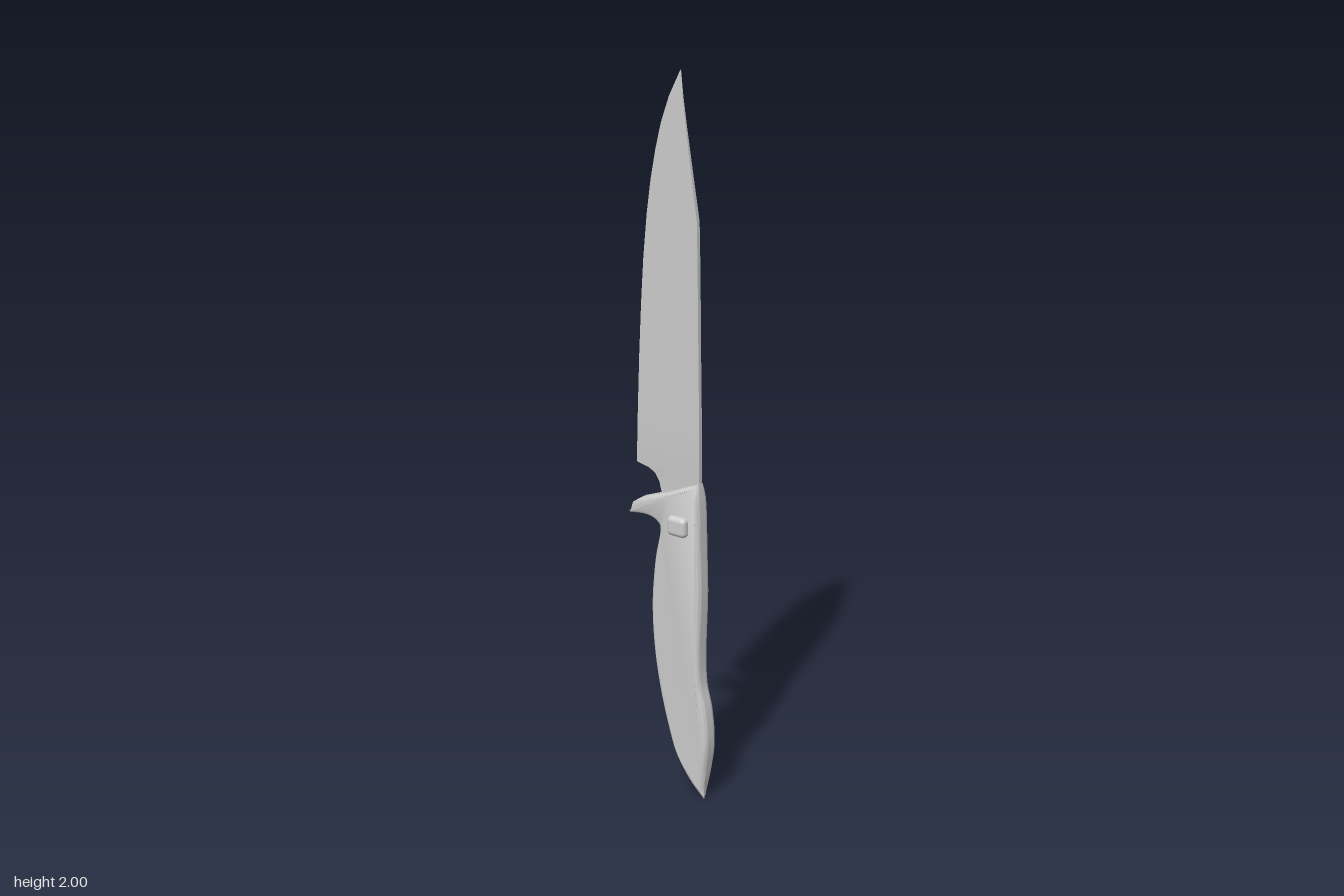
import * as THREE from 'three';
import { toCreasedNormals } from 'three/addons/utils/BufferGeometryUtils.js';
import { RoundedBoxGeometry } from 'three/addons/geometries/RoundedBoxGeometry.js';

const material = new THREE.MeshStandardMaterial({ color: 0xcccccc });

function part(name, geometry) {
  const mesh = new THREE.Mesh(geometry, material);
  mesh.name = name;
  return mesh;
}

// Wedge blade lofted from rows of [y, cutting edge x, spine x]
function bladeGeometry() {
  const rows = [
    [0.8, -0.02, 0.085], [0.865, -0.04, 0.09], [0.895, -0.048, 0.091], [0.915, -0.062, 0.091],
    [0.926, -0.082, 0.091], [0.935, -0.125, 0.091], [1.08, -0.121, 0.09], [1.24, -0.115, 0.087],
    [1.38, -0.108, 0.085], [1.5, -0.1, 0.083], [1.62, -0.088, 0.08], [1.71, -0.075, 0.065],
    [1.79, -0.059, 0.052], [1.86, -0.041, 0.041], [1.93, -0.015, 0.031], [2, 0.022, 0.024],
  ];
  const positions = [], index = [];
  rows.forEach(([y, edge, spine], i) => {
    const half = Math.min(0.006, 0.035 * (spine - edge));
    positions.push(edge, y, 0, spine, y, half, spine, y, -half);
    if (i === 0) return;
    for (let k = 0; k < 3; k++) {
      const a = (i - 1) * 3 + k, b = (i - 1) * 3 + (k + 1) % 3;
      index.push(a, b, b + 3, a, b + 3, a + 3);
    }
  });
  const top = (rows.length - 1) * 3;
  index.push(0, 2, 1, top, top + 1, top + 2);
  const geometry = new THREE.BufferGeometry();
  geometry.setAttribute('position', new THREE.Float32BufferAttribute(positions, 3));
  geometry.setIndex(index);
  return toCreasedNormals(geometry, 0.5);
}

// Handle and finger guard in one outline, thinned towards the butt and the top
function handleGeometry() {
  const spline = (shape, pts) => shape.splineThru(pts.map(([x, y]) => new THREE.Vector2(x, y)));
  const outline = new THREE.Shape();
  outline.moveTo(0.108, 0.003);
  spline(outline, [[0.122, 0.09], [0.131, 0.18], [0.123, 0.27], [0.105, 0.345], [0.101, 0.44],
    [0.106, 0.6], [0.103, 0.72], [0.099, 0.85], [0.092, 0.918]]);
  spline(outline, [[0.04, 0.897], [-0.01, 0.875], [-0.06, 0.857], [-0.1, 0.842]]);
  outline.lineTo(-0.127, 0.824);
  outline.lineTo(-0.136, 0.791);
  spline(outline, [[-0.105, 0.796], [-0.07, 0.797], [-0.042, 0.788], [-0.031, 0.765],
    [-0.048, 0.68], [-0.059, 0.55], [-0.051, 0.415], [-0.026, 0.28], [0.014, 0.145], [0.04, 0.09]]);
  spline(outline, [[0.07, 0.043], [0.108, 0.003]]);

  const thickness = 0.048, bevel = 0.014;
  const geometry = new THREE.ExtrudeGeometry(outline, {
    depth: thickness - 2 * bevel, curveSegments: 4,
    bevelThickness: bevel, bevelSize: 0.01, bevelOffset: -0.01, bevelSegments: 4,
  });
  geometry.translate(0, 0, bevel - thickness / 2);
  const p = geometry.attributes.position;
  for (let i = 0; i < p.count; i++) {
    const y = p.getY(i);
    const butt = 0.15 + 0.85 * Math.sin(Math.min(1, Math.max(0, y / 0.16)) * Math.PI / 2);
    const top = 1 - 0.5 * Math.max(0, (y - 0.86) / 0.06) ** 2;
    p.setZ(i, p.getZ(i) * butt * top);
  }
  geometry.deleteAttribute('normal');
  geometry.deleteAttribute('uv');
  return toCreasedNormals(geometry, 0.7);
}

export function createModel() {
  const knife = new THREE.Group();
  knife.name = 'knife';
  knife.add(part('blade', bladeGeometry()));
  knife.add(part('handle', handleGeometry()));

  // Rounded pivot stud standing out on both sides
  const stud = part('pivotStud', new RoundedBoxGeometry(0.062, 0.056, 0.078, 3, 0.014));
  stud.position.set(0.034, 0.792, 0);
  knife.add(stud);
  return knife;
}
